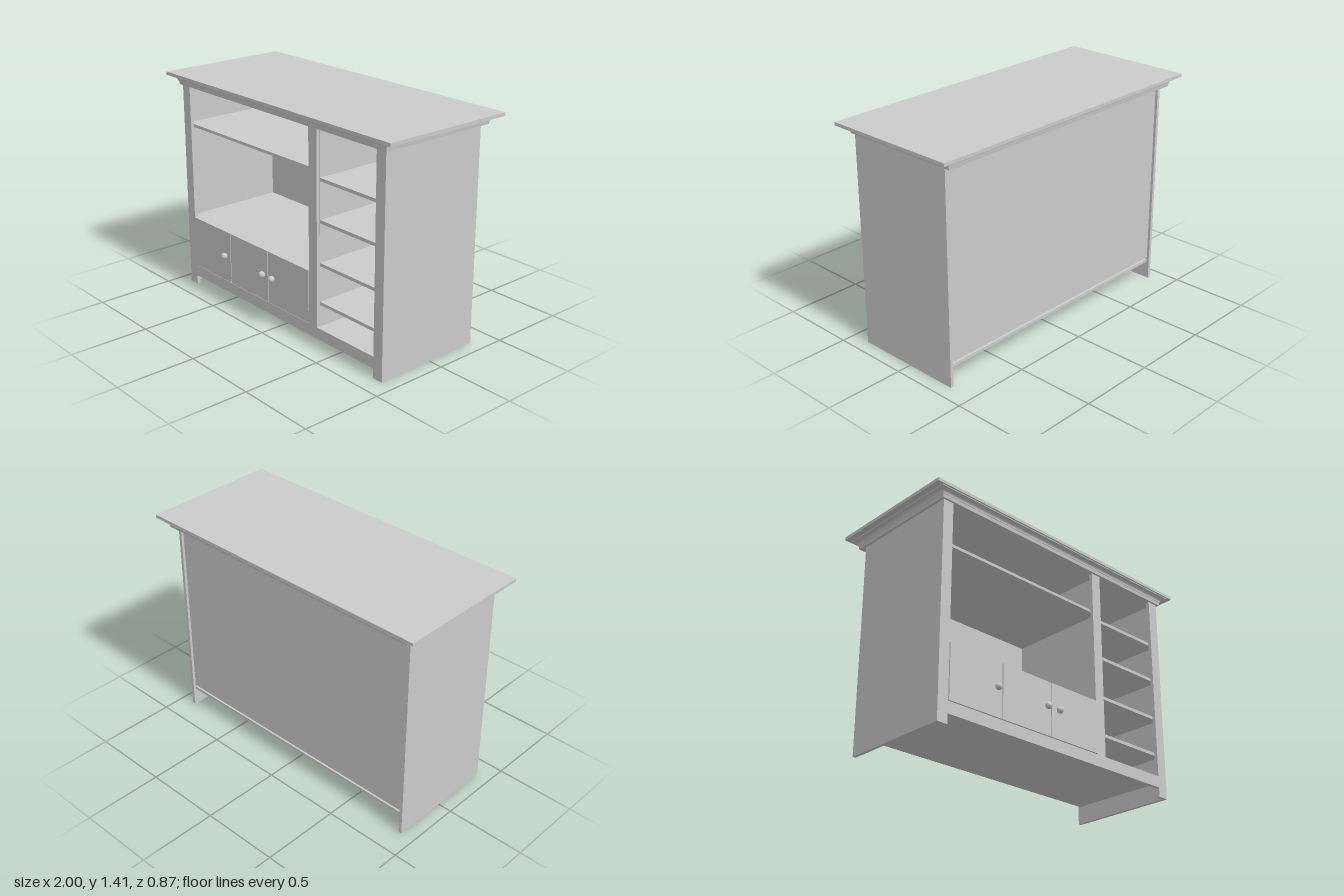
import * as THREE from 'three';

const material = new THREE.MeshStandardMaterial({ color: 0xcccccc });

// Box given by its limits on each axis
function addBox(parent, name, [x0, x1], [y0, y1], [z0, z1]) {
  const mesh = new THREE.Mesh(new THREE.BoxGeometry(x1 - x0, y1 - y0, z1 - z0), material);
  mesh.position.set((x0 + x1) / 2, (y0 + y1) / 2, (z0 + z1) / 2);
  mesh.name = name;
  parent.add(mesh);
  return mesh;
}

// Mitred rectangular moulding: profile points are [outward offset, y]
function mouldingGeometry(profile, halfX, halfZ) {
  const pos = [];
  const rings = profile.map(([d, y]) => {
    const x = halfX + d, z = halfZ + d;
    return [[-x, y, z], [x, y, z], [x, y, -z], [-x, y, -z]];
  });
  const quad = (a, b, c, d) => pos.push(...a, ...b, ...c, ...a, ...c, ...d);
  for (let i = 0; i < rings.length - 1; i++) {
    const lo = rings[i], hi = rings[i + 1];
    for (let k = 0; k < 4; k++) {
      const n = (k + 1) % 4;
      quad(lo[k], lo[n], hi[n], hi[k]);
    }
  }
  const bottom = rings[0], top = rings[rings.length - 1];
  quad(bottom[3], bottom[2], bottom[1], bottom[0]);
  quad(top[0], top[1], top[2], top[3]);
  const geo = new THREE.BufferGeometry();
  geo.setAttribute('position', new THREE.Float32BufferAttribute(pos, 3));
  geo.computeVertexNormals();
  return geo;
}

export function createModel() {
  const model = new THREE.Group();
  model.name = 'mediaCabinet';

  const TOP = 1.335;
  const carcassZ = [-0.342, 0.355];
  const frameZ = [0.355, 0.377];
  const innerZ = [-0.305, 0.355];

  // Side panels and the front stiles that form the feet
  for (const s of [-1, 1]) {
    const side = s < 0 ? 'right' : 'left';
    const span = (a, b) => (s < 0 ? [-b, -a] : [a, b]);
    addBox(model, side + 'SidePanel', span(0.89, 0.91), [0, TOP], carcassZ);
    addBox(model, side + 'Stile', span(0.84, 0.91), [0, TOP], frameZ);
  }

  // Face frame, divider, floor and recessed back
  addBox(model, 'middleStile', [0.295, 0.365], [0.13, TOP], frameZ);
  addBox(model, 'bottomRail', [-0.84, 0.84], [0.06, 0.132], frameZ);
  addBox(model, 'divider', [0.348, 0.368], [0.132, TOP], innerZ);
  addBox(model, 'floor', [-0.89, 0.89], [0.113, 0.132], [-0.325, 0.355]);
  addBox(model, 'backPanel', [-0.89, 0.89], [0.146, TOP], [-0.325, -0.305]);

  // Shelves, by the height of their top faces
  for (const y of [0.465, 1.088])
    addBox(model, 'wideShelf', [-0.89, 0.348], [y - 0.018, y], innerZ);
  for (const y of [0.29, 0.533, 0.795, 1.045])
    addBox(model, 'narrowShelf', [0.368, 0.89], [y - 0.02, y], innerZ);

  // Doors with round knobs
  const knobProfile = [[0, -0.022], [0.009, -0.022], [0.008, -0.016]];
  for (let i = 0; i <= 12; i++) {
    const a = -0.9 + (i / 12) * (Math.PI / 2 + 0.9);
    knobProfile.push([i === 12 ? 0 : 0.021 * Math.cos(a), 0.02 * Math.sin(a)]);
  }
  const knobGeo = new THREE.LatheGeometry(knobProfile.map(([r, h]) => new THREE.Vector2(r, h)), 24);
  knobGeo.rotateX(Math.PI / 2);
  for (const [x0, x1, knobX] of [[-0.836, -0.46, -0.502], [-0.455, -0.086, -0.122], [-0.081, 0.295, -0.03]]) {
    const door = new THREE.Group();
    door.name = 'door';
    addBox(door, 'doorPanel', [x0, x1], [0.136, 0.469], [0.358, 0.38]);
    const knob = new THREE.Mesh(knobGeo, material);
    knob.name = 'knob';
    knob.position.set(knobX, 0.31, 0.398);
    door.add(knob);
    model.add(door);
  }

  // Cove moulding under the top board
  const profile = [[0, TOP], [0.003, 1.357]];
  for (let i = 0; i <= 8; i++) {
    const a = (i / 8) * (Math.PI / 2);
    profile.push([0.006 + 0.028 * (1 - Math.cos(a)), 1.357 + 0.026 * Math.sin(a)]);
  }
  profile.push([0.036, 1.383], [0.036, 1.389]);
  const moulding = new THREE.Mesh(mouldingGeometry(profile, 0.926, 0.39), material);
  moulding.name = 'crownMoulding';
  model.add(moulding);

  addBox(model, 'topBoard', [-1, 1], [1.388, 1.408], [-0.436, 0.436]);
  return model;
}
